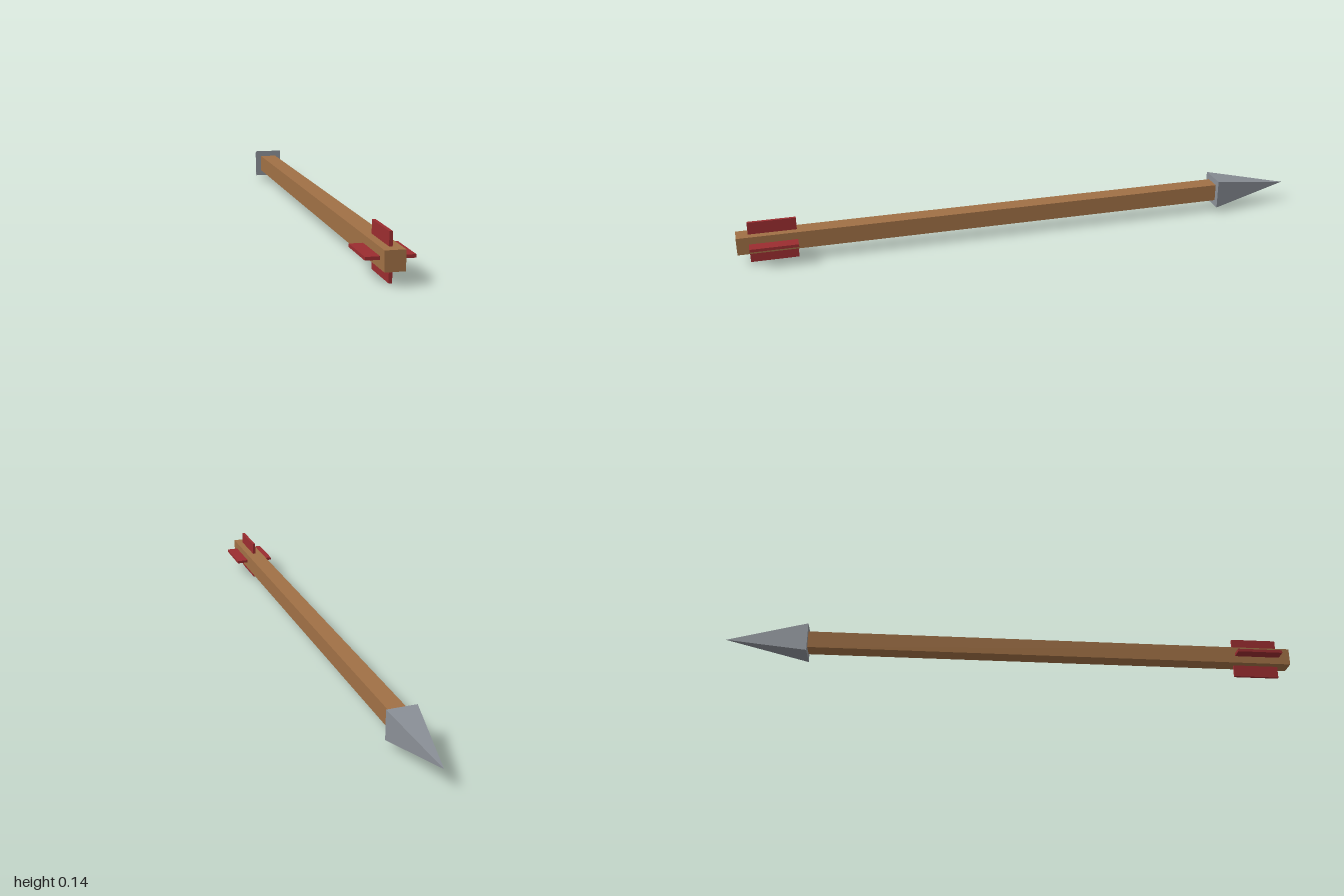
import * as THREE from 'three';

export function createModel() {
  const group = new THREE.Group();
  group.name = 'arrow';
  const material = (name, color) => {
    const m = new THREE.MeshStandardMaterial({ color });
    m.name = name;
    return m;
  };
  const wood = material('wood', 0xa07045);
  const steel = material('steel', 0x8a8f96);
  const red = material('red feather', 0x9b2d30);

  const axisY = 0.072; // height of the arrow's axis
  const neckZ = -0.715; // where the shaft meets the head

  const add = (name, geometry, mat, parent = group) => {
    const mesh = new THREE.Mesh(geometry, mat);
    mesh.name = name;
    parent.add(mesh);
    return mesh;
  };

  // Square shaft
  const shaftLength = 1 - neckZ;
  add('shaft', new THREE.BoxGeometry(0.06, 0.06, shaftLength), wood)
    .position.set(0, axisY, 1 - shaftLength / 2);

  // Four-sided pyramid head, pointing to -z
  const headLength = 1 + neckZ;
  const headGeometry = new THREE.ConeGeometry(0.051 * Math.SQRT2, headLength, 4, 1)
    .rotateY(Math.PI / 4)
    .rotateX(-Math.PI / 2)
    .toNonIndexed();
  headGeometry.computeVertexNormals();
  add('arrowhead', headGeometry, steel).position.set(0, axisY, neckZ - headLength / 2);

  // Four vanes around the tail
  const fletching = new THREE.Group();
  fletching.name = 'fletching';
  fletching.position.set(0, axisY, 0.88);
  group.add(fletching);
  const vane = new THREE.BoxGeometry(0.01, 0.044, 0.16).translate(0, 0.05, 0);
  ['topVane', 'leftVane', 'bottomVane', 'rightVane'].forEach((name, i) => {
    add(name, vane, red, fletching).rotation.z = (-i * Math.PI) / 2;
  });

  return group;
}
